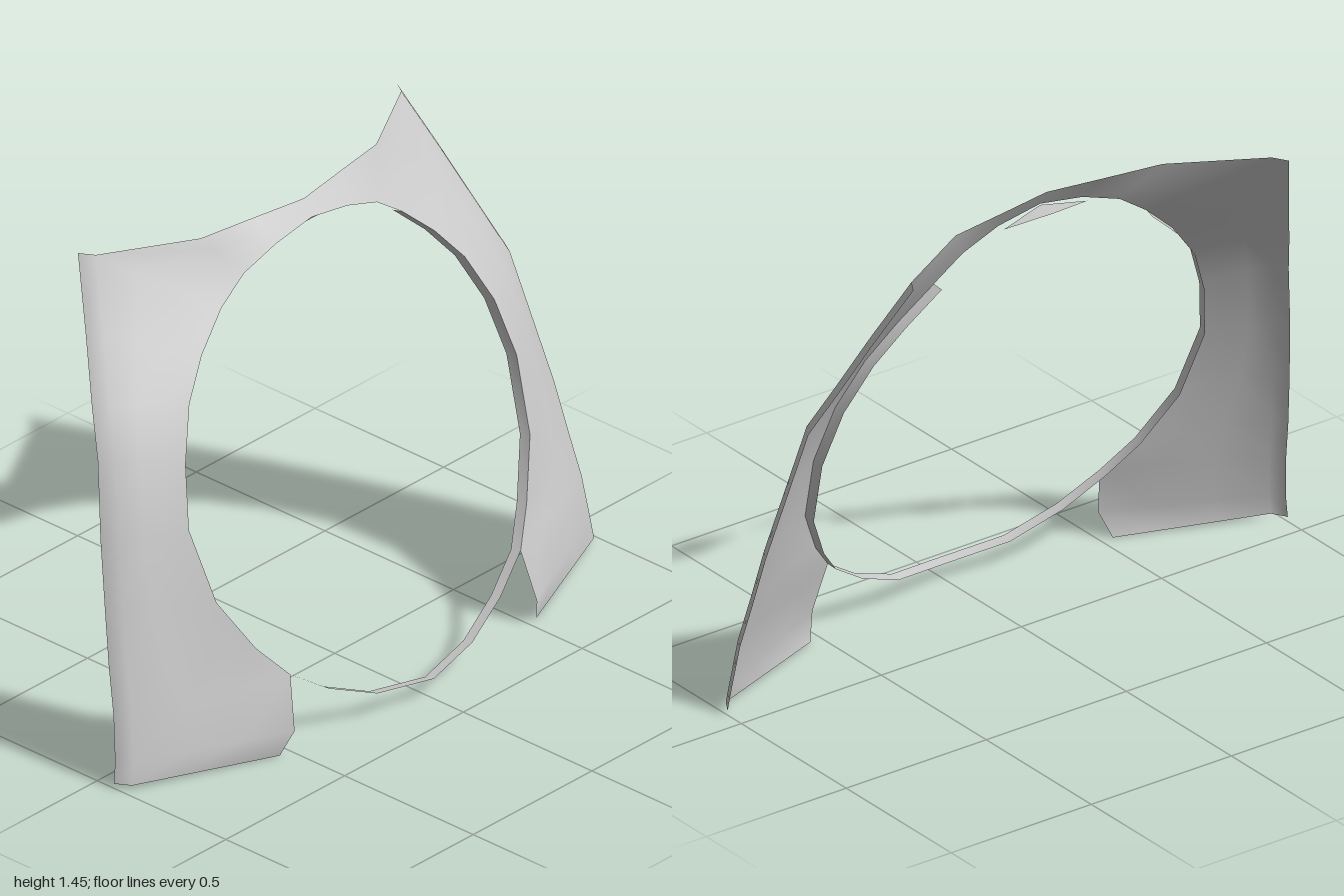
import * as THREE from 'three';

const material = new THREE.MeshStandardMaterial({ color: 0xcccccc, side: THREE.DoubleSide });

// Rows of the right-hand half, from top centre down to the foot: [opening edge, outer edge]
const half = [
  [[0, 1.40, -0.09], [0, 1.45, -0.12]],
  [[0.15, 1.375, -0.09], [0.18, 1.45, -0.15]],
  [[0.28, 1.33, -0.095], [0.37, 1.45, -0.18]],
  [[0.38, 1.26, -0.09], [0.67, 1.45, -0.38]],
  [[0.49, 1.16, -0.065], [0.745, 1.25, -0.28]],
  [[0.58, 1.05, -0.03], [0.807, 1.08, -0.20]],
  [[0.65, 0.90, 0.02], [0.857, 0.94, -0.13]],
  [[0.69, 0.72, 0.07], [0.90, 0.72, -0.08]],
  [[0.66, 0.50, 0.15], [0.935, 0.52, -0.03]],
  [[0.57, 0.34, 0.22], [0.957, 0.36, 0.005]],
  [[0.485, 0.24, 0.275], [0.975, 0.22, 0.04]],
  [[0.51, 0.08, 0.315], [0.99, 0.08, 0.06]],
  [[0.54, 0, 0.285], [1, 0.015, 0.065]],
];
const FIRST_LIP_ROW = 3;
const mirror = ([x, y, z]) => [-x, y, z];

// Skin a grid of points; skip(row, col) leaves a cell open
function skin(name, rows, skip = () => false) {
  const n = rows[0].length;
  const index = [];
  for (let r = 0; r < rows.length - 1; r++) {
    for (let c = 0; c < n - 1; c++) {
      if (skip(r, c)) continue;
      const a = r * n + c, b = a + n;
      index.push(a, b, a + 1, b, b + 1, a + 1);
    }
  }
  const geometry = new THREE.BufferGeometry();
  geometry.setAttribute('position', new THREE.Float32BufferAttribute(rows.flat(2), 3));
  geometry.setIndex(index);
  geometry.computeVertexNormals();
  const mesh = new THREE.Mesh(geometry, material);
  mesh.name = name;
  return mesh;
}

// One row of the panel: opening edge, two points between, crease, folded-back lip
function panelRow([inner, outer], i) {
  const crease = i < FIRST_LIP_ROW ? outer : [outer[0] - 0.027, outer[1], outer[2] + 0.045];
  const points = [0, 1 / 3, 2 / 3, 1].map(t => inner.map((v, k) => v + (crease[k] - v) * t));
  return [...points, outer];
}

export function createModel() {
  const group = new THREE.Group();
  group.name = 'surroundPanel';

  // Curved panel with both legs, and the lip along its outer sides
  const right = half.map(panelRow);
  const left = right.slice(1).reverse().map(row => row.map(mirror));
  const centre = left.length;
  group.add(skin('panel', [...left, ...right],
    (r, c) => c === 3 && r < centre + FIRST_LIP_ROW && r >= centre - FIRST_LIP_ROW));

  // Narrow flange round the opening, running free across the bottom
  const arc = [
    ...half.slice(FIRST_LIP_ROW, 11).map(row => row[0]),
    [0.36, 0.155, 0.312], [0.2, 0.087, 0.35], [0, 0.065, 0.385],
  ];
  const loop = [...arc, ...arc.slice(0, -1).reverse().map(mirror)];
  group.add(skin('openingFlange', loop.map(p => [p, [p[0] * 0.99, p[1] - 0.006, p[2] - 0.033]])));

  // Small pointed tab behind the top of the opening
  const corner = [0.15, 1.373, -0.115];
  group.add(skin('topTab', [
    [mirror(corner), mirror(corner)],
    [[0, 1.396, -0.09], [0, 1.396, -0.155]],
    [corner, corner],
  ]));

  return group;
}
